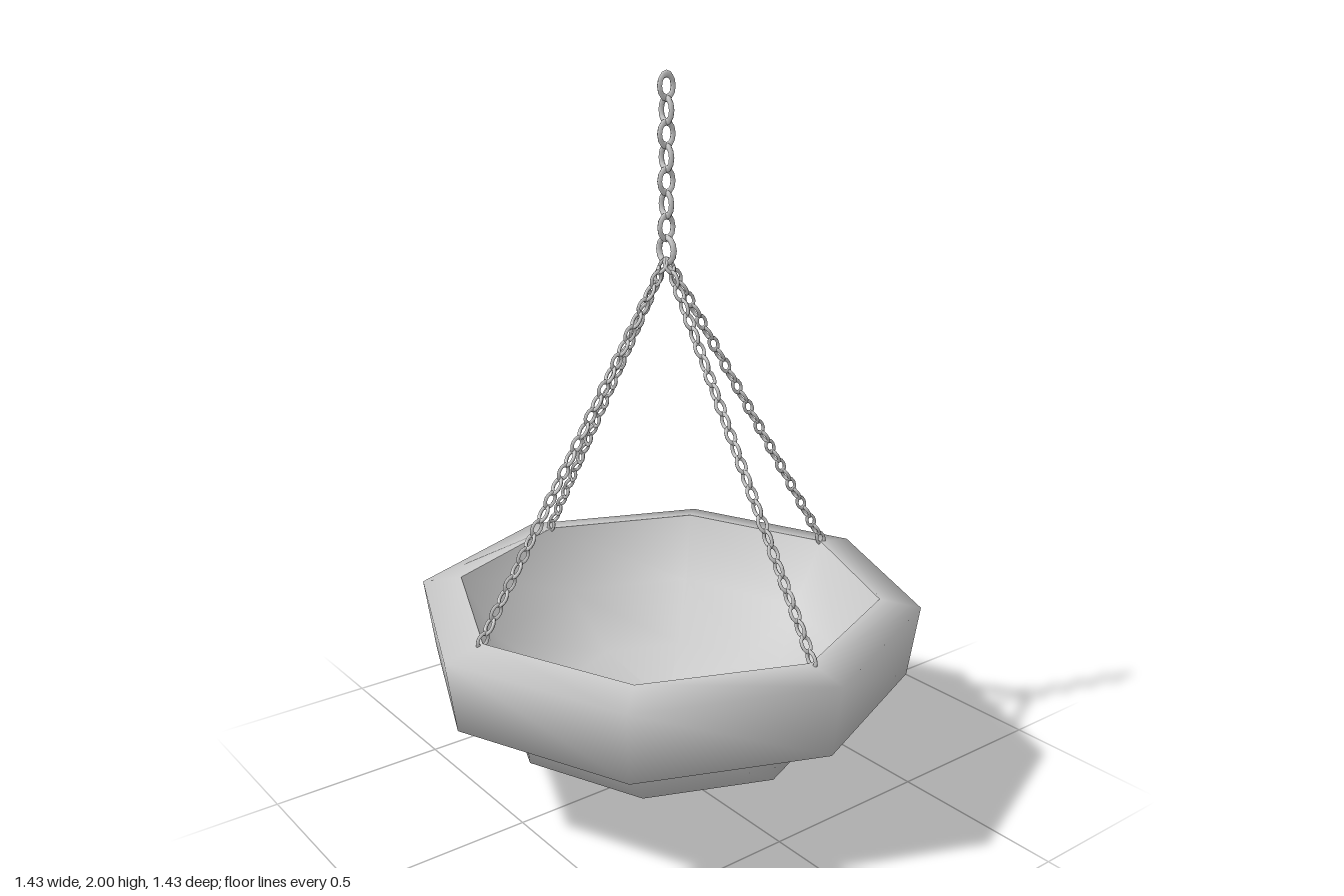
import * as THREE from 'three';

const material = new THREE.MeshStandardMaterial({ color: 0xcccccc, side: THREE.DoubleSide });

// Eight-sided turned part with smooth normals; profile is [radius, height] pairs
function turned(name, profile) {
  const points = profile.map(([r, y]) => new THREE.Vector2(r, y));
  const mesh = new THREE.Mesh(new THREE.LatheGeometry(points, 8), material);
  mesh.name = name;
  return mesh;
}

// Oval link standing in the xy plane
function linkGeometry(width, height, wire) {
  const geometry = new THREE.TorusGeometry(width / 2 - wire, wire, 6, 12);
  return geometry.scale(1, height / width, 1);
}

// Chain of links from start to end, each turned a quarter from the last
function chain(name, start, end, count, geometry, firstTurn) {
  const group = new THREE.Group();
  group.name = name;
  const direction = end.clone().sub(start).normalize();
  const align = new THREE.Quaternion().setFromUnitVectors(new THREE.Vector3(0, -1, 0), direction);
  for (let i = 0; i < count; i++) {
    const link = new THREE.Mesh(geometry, material);
    link.name = 'chainLink';
    link.position.lerpVectors(start, end, i / (count - 1));
    link.quaternion.copy(align);
    link.rotateY(firstTurn + (i % 2) * Math.PI / 2);
    group.add(link);
  }
  return group;
}

export function createModel() {
  const model = new THREE.Group();
  model.name = 'hangingBowl';

  // Stepped bowl
  model.add(
    turned('outerRim', [[0.45, 0.35], [0.685, 0.35], [0.715, 0.555], [0.6, 0.575]]),
    turned('bowlInside', [[0.6, 0.575], [0.5, 0.39], [0.3, 0.26], [0, 0.21]]),
    turned('middleTier', [[0, 0.18], [0.47, 0.18], [0.49, 0.35]]),
    turned('bottomKnob', [[0, 0.005], [0.1, 0.022], [0.18, 0.04], [0.212, 0.1], [0.215, 0.18]])
  );

  // Main chain and the ring that gathers the four side chains
  const top = new THREE.Vector3(0, 1.96, 0);
  const bottom = new THREE.Vector3(0, 1.6, 0);
  model.add(chain('mainChain', top, bottom, 7, linkGeometry(0.058, 0.08, 0.007), Math.PI / 2));
  const ring = new THREE.Mesh(linkGeometry(0.08, 0.085, 0.008), material);
  ring.name = 'gatheringRing';
  ring.position.y = 1.54;
  model.add(ring);

  // Four side chains down to the rim
  const sideLink = linkGeometry(0.037, 0.054, 0.0048);
  ['leftChain', 'backChain', 'rightChain', 'frontChain'].forEach((name, i) => {
    const side = chain(name, new THREE.Vector3(0.012, 1.5, 0), new THREE.Vector3(0.6, 0.585, 0), 28, sideLink, Math.PI / 2);
    side.rotation.y = i * Math.PI / 2;
    model.add(side);
  });

  return model;
}
